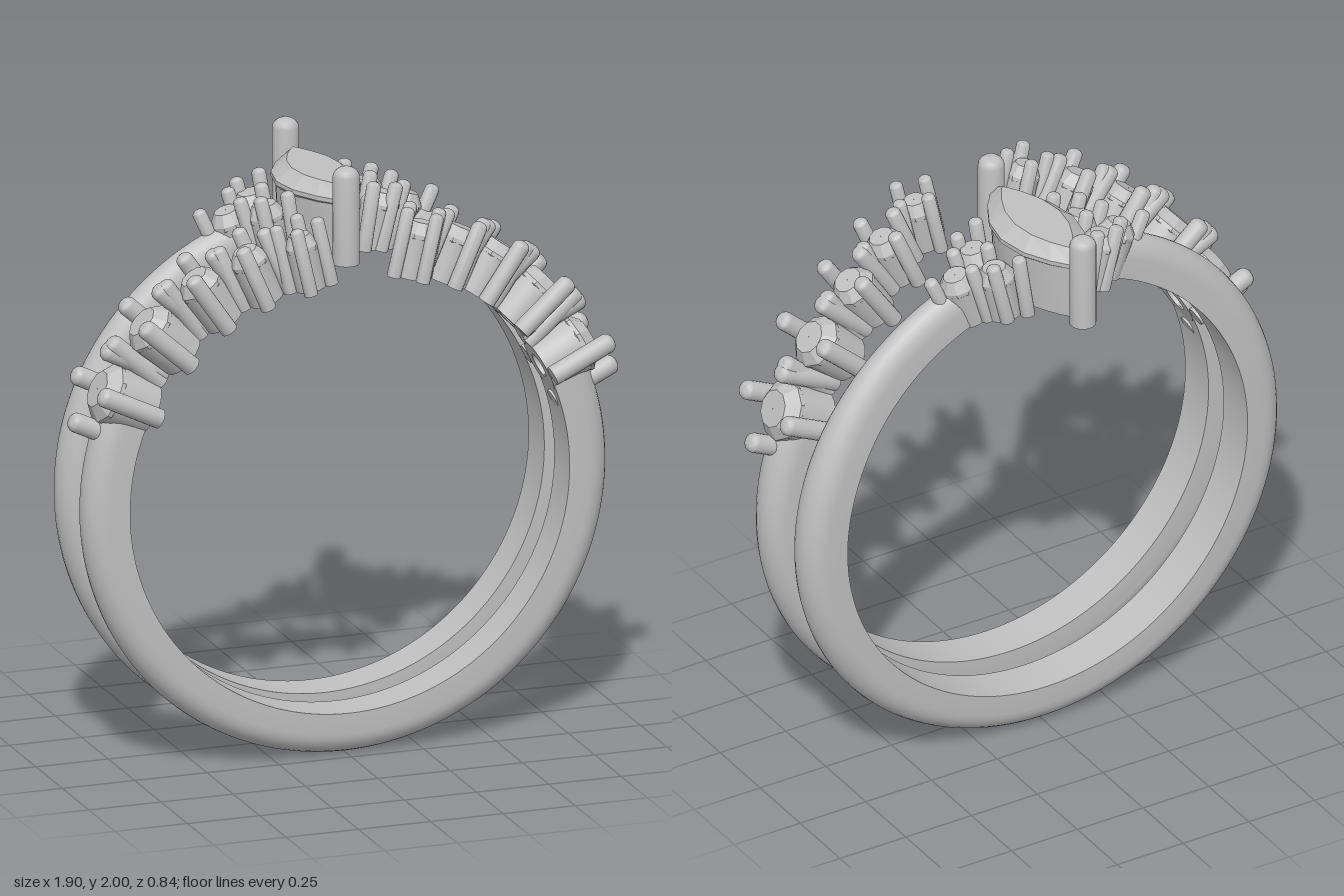
import * as THREE from 'three';
import { toCreasedNormals } from 'three/addons/utils/BufferGeometryUtils.js';

const CENTRE_Y = 0.91, INNER = 0.76, OUTER = 0.905;
const rad = THREE.MathUtils.degToRad;

export function createModel() {
  const model = new THREE.Group();
  model.name = 'ringSet';
  const metal = new THREE.MeshStandardMaterial({ color: 0xc0c0c0 });
  metal.name = 'silver grey';

  const add = (parent, name, geometry) => {
    const mesh = new THREE.Mesh(geometry, metal);
    mesh.name = name;
    parent.add(mesh);
    return mesh;
  };
  const lathe = (points, sides) =>
    new THREE.LatheGeometry(points.map(([r, y]) => new THREE.Vector2(r, y)), sides);
  const smooth = (g) => toCreasedNormals(g, rad(40));
  const faceted = (g) => {
    const flat = g.toNonIndexed();
    flat.computeVertexNormals();
    return flat;
  };

  // Band with flat inside and domed outside, swept around the finger
  function band(name, z0, from, to, halfWidth) {
    const steps = 120, profile = [[INNER, 1], [0.83, 1]];
    for (let k = 1; k < 12; k++) {
      const a = (k / 12) * Math.PI;
      profile.push([0.83 + (OUTER - 0.83) * Math.sin(a), Math.cos(a)]);
    }
    profile.push([0.83, -1], [INNER, -1]);
    const n = profile.length, pos = [], index = [];
    for (let i = 0; i <= steps; i++) {
      const t = from + (to - from) * i / steps, w = halfWidth(Math.sin(t));
      for (const [r, z] of profile) pos.push(r * Math.cos(t), r * Math.sin(t), z * w);
    }
    for (let i = 0; i < steps; i++) {
      for (let j = 0; j < n; j++) {
        const a = i * n + j, b = i * n + (j + 1) % n;
        index.push(a, b, a + n, b, b + n, a + n);
      }
    }
    // End caps
    const last = steps * n;
    for (let j = 1; j < n - 1; j++) index.push(0, j + 1, j, last, last + j, last + j + 1);
    const g = new THREE.BufferGeometry();
    g.setAttribute('position', new THREE.Float32BufferAttribute(pos, 3));
    g.setIndex(index);
    add(model, name, smooth(g)).position.set(0, CENTRE_Y, z0);
  }
  band('frontBand', 0.163, rad(157), rad(383), () => 0.073);
  band('backBand', -0.079, rad(110), rad(430),
    (s) => 0.075 - 0.02 * THREE.MathUtils.smoothstep(s, 0.2, 1));

  // Round-tipped prong
  function prong(parent, x, z, r, bottom, top) {
    const points = [[0, bottom], [r, bottom]];
    for (let k = 0; k <= 5; k++) {
      const a = (k / 5) * Math.PI / 2;
      points.push([r * Math.cos(a), top - 0.75 * r + 0.75 * r * Math.sin(a)]);
    }
    add(parent, 'prong', smooth(lathe(points, 16))).position.set(x, 0, z);
  }

  // Group whose y axis points outwards from the finger, tilted from the top
  function radialGroup(name, tilt, z) {
    const g = new THREE.Group();
    g.name = name;
    g.position.set(0, CENTRE_Y, z);
    g.rotation.z = -tilt;
    model.add(g);
    return g;
  }

  // Cup with a drilled base, and the round stone in it
  function stone(parent, R) {
    add(parent, 'cup', smooth(lathe(
      [[0.42 * R, 0.84], [0.42 * R, 0.755], [0.9 * R, 0.755], [0.96 * R, 0.895], [0.8 * R, 0.9]], 24)));
    add(parent, 'roundStone', faceted(lathe(
      [[0.001, 0.82], [R, 0.895], [R, 0.908], [0.62 * R, 0.945], [0.001, 0.945]], 10)));
  }

  // Curved row of graduated stones: [elevation, z, stone radius, prong offset, prong radius, twist]
  const row = [
    [26, 0.168, 0.102, 0.128, 0.033, 0],
    [42, 0.185, 0.09, 0.115, 0.032, 5],
    [55.5, 0.22, 0.077, 0.092, 0.029, 12],
    [66.5, 0.27, 0.066, 0.08, 0.026, 16],
    [77, 0.333, 0.056, 0.068, 0.023, 20],
  ];
  // Small trios beside the centre stone: [x, z] at the outer radius
  const trio = [[0.2, -0.155], [0.2, -0.018], [0.305, -0.087]];
  const trioProngs = [[0.15, -0.22], [0.235, -0.2], [0.285, -0.145], [0.15, 0.052],
    [0.235, 0.03], [0.285, -0.028], [0.405, -0.087], [0.19, -0.087]];

  for (const side of [1, -1]) {
    const label = side > 0 ? 'left' : 'right';
    row.forEach(([elevation, z, R, offset, r, twist], i) => {
      const g = radialGroup(`${label}RowStone${i + 1}`, side * rad(90 - elevation), z);
      stone(g, R);
      for (let k = 0; k < 4; k++) {
        const a = rad(twist + 90 * k), x = side * offset * Math.cos(a);
        prong(g, x, -offset * Math.sin(a), r, Math.sqrt(INNER * INNER - x * x) - 0.004, 0.99);
      }
    });
    trio.forEach(([x, z], i) =>
      stone(radialGroup(`${label}TrioStone${i + 1}`, side * Math.asin(x / 0.92), z), 0.064));
    trioProngs.forEach(([x, z]) =>
      prong(radialGroup(`${label}TrioProng`, side * Math.asin(x / 0.98), z), 0, 0, 0.024, 0.757, 0.99));
  }

  // Centre setting: turned profiles pinched into a pointed oval
  const pointedOval = (g, width, length) => {
    const p = g.attributes.position;
    for (let i = 0; i < p.count; i++) {
      const x = p.getX(i);
      p.setX(i, width * x * Math.abs(x));
      p.setZ(i, length * p.getZ(i));
    }
    return g;
  };
  const centre = new THREE.Group();
  centre.name = 'centreSetting';
  centre.position.z = -0.087;
  model.add(centre);
  add(centre, 'centreBasket', smooth(pointedOval(lathe(
    [[0.48, 1.8], [0.48, 1.67], [0.95, 1.67], [1, 1.86], [0.85, 1.86]], 48), 0.122, 0.27)));
  add(centre, 'centreStone', faceted(pointedOval(lathe(
    [[0.001, 1.74], [1, 1.865], [1, 1.88], [0.78, 1.92], [0.001, 1.92]], 16), 0.137, 0.28)));
  for (const z of [-0.287, 0.287]) prong(centre, 0, z, 0.044, 1.67, 2);

  return model;
}
